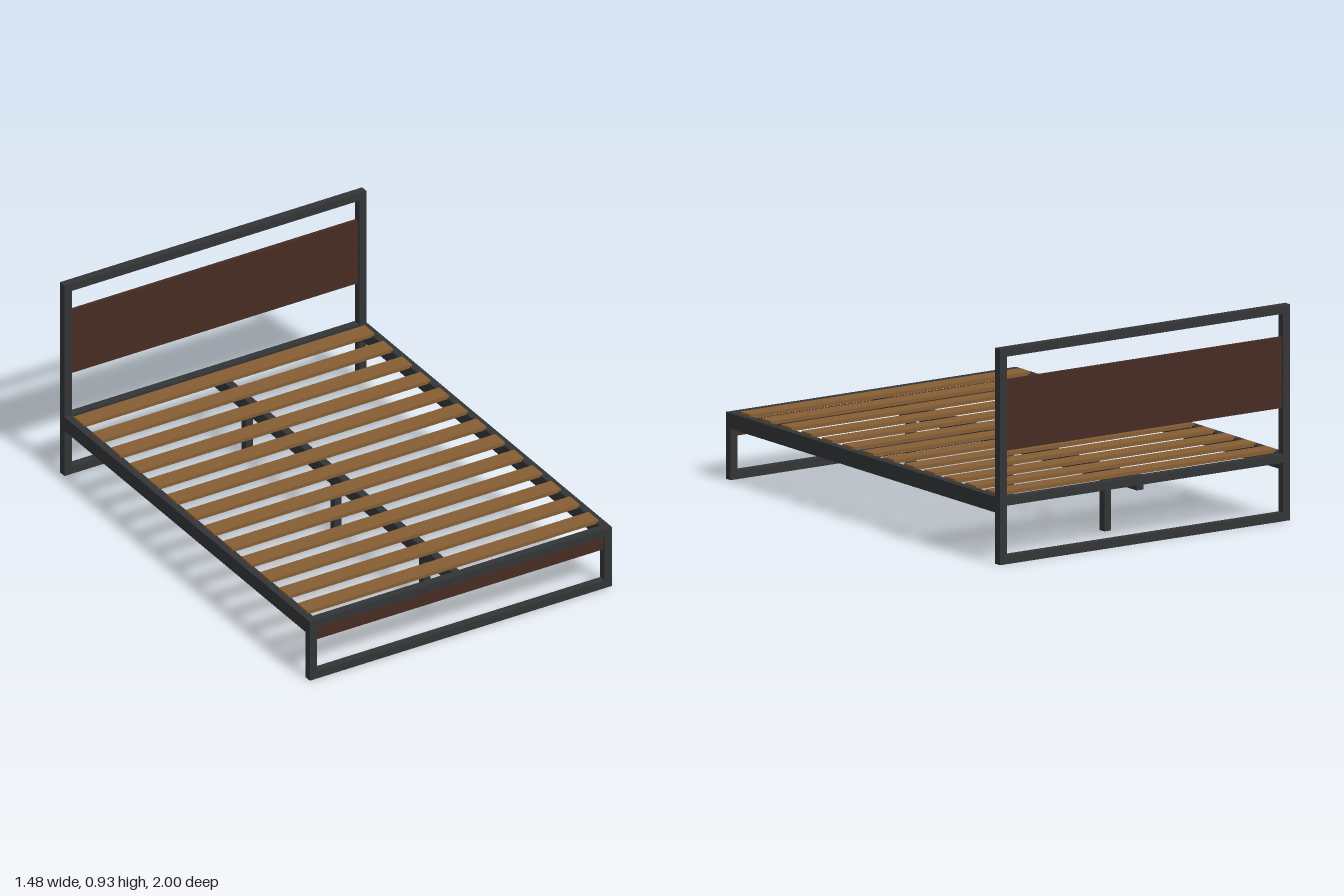
import * as THREE from 'three';

const TUBE = 0.036;
const HALF_W = 0.742;
const INNER_W = 2 * (HALF_W - TUBE);
const END_Z = 1 - TUBE / 2;

export function createModel() {
  const metal = new THREE.MeshStandardMaterial({ color: 0x333436 });
  metal.name = 'dark metal';
  const walnut = new THREE.MeshStandardMaterial({ color: 0x452b22 });
  walnut.name = 'dark walnut';
  const pine = new THREE.MeshStandardMaterial({ color: 0x875e34 });
  pine.name = 'slat wood';

  // Box spanning y0..y1, centred on x and z
  function bar(parent, name, material, width, y0, y1, depth, x, z) {
    const mesh = new THREE.Mesh(new THREE.BoxGeometry(width, y1 - y0, depth), material);
    mesh.name = name;
    mesh.position.set(x, (y0 + y1) / 2, z);
    parent.add(mesh);
  }

  // Rectangular end frame: two posts, cross bars (by top height) and planks
  function endFrame(name, height, z, barTops, planks) {
    const group = new THREE.Group();
    group.name = name;
    group.position.z = z;
    for (const side of [-1, 1]) {
      bar(group, 'post', metal, TUBE, 0, height, TUBE, side * (HALF_W - TUBE / 2), 0);
    }
    for (const top of barTops) {
      bar(group, 'crossBar', metal, INNER_W, top - TUBE, top, TUBE, 0, 0);
    }
    for (const [y0, y1] of planks) {
      bar(group, 'plank', walnut, INNER_W, y0, y1, 0.018, 0, 0);
    }
    return group;
  }

  const bed = new THREE.Group();
  bed.name = 'bedFrame';

  // Headboard with four planks, footboard with one
  const headPlanks = [];
  for (let i = 0; i < 4; i++) headPlanks.push([0.485 + i * 0.077, 0.558 + i * 0.077]);
  bed.add(endFrame('headboard', 0.927, -END_Z, [TUBE, 0.287, 0.927], headPlanks));
  bed.add(endFrame('footboard', 0.287, END_Z, [TUBE, 0.287], [[0.185, 0.243]]));

  // Side rails
  const railLength = 2 * (1 - TUBE);
  for (const side of [-1, 1]) {
    bar(bed, 'sideRail', metal, TUBE, 0.22, 0.287, railLength, side * (HALF_W - TUBE / 2), 0);
  }

  // Centre beam and its legs
  bar(bed, 'centreBeam', metal, TUBE, 0.22, 0.281, railLength, 0, 0);
  for (const z of [-0.71, 0, 0.71]) {
    bar(bed, 'centreLeg', metal, 0.034, 0, 0.22, 0.034, 0, z);
  }

  // Mattress slats
  for (let i = -6; i <= 6; i++) {
    bar(bed, 'slat', pine, 1.43, 0.281, 0.297, 0.078, 0, i * 0.1493);
  }
  return bed;
}
